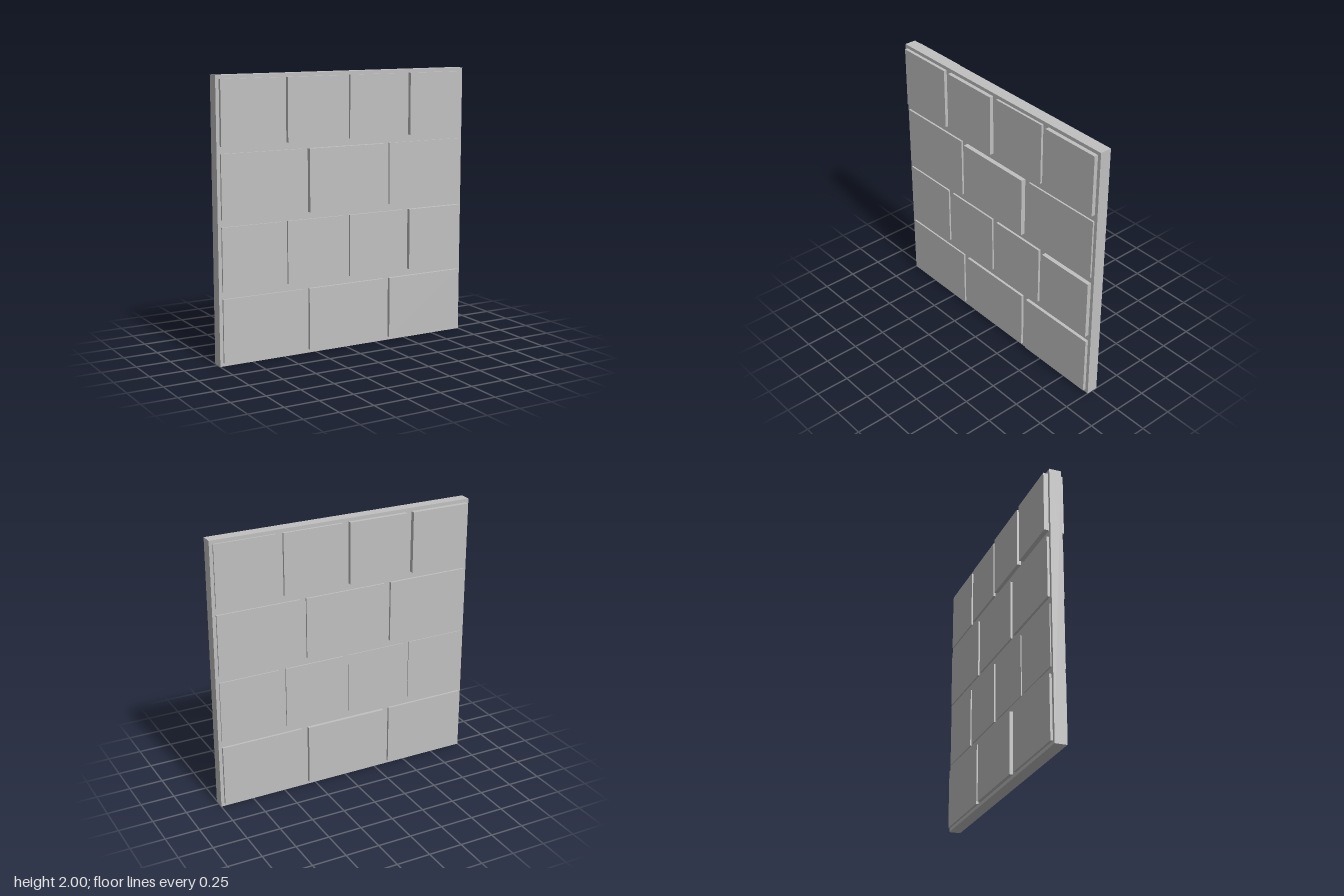
import * as THREE from 'three';

export function createModel() {
  const model = new THREE.Group();
  model.name = 'stoneWall';
  const stone = new THREE.MeshStandardMaterial({ color: 0xc0c0c0 });
  stone.name = 'grey stone';

  const half = 0.043; // half thickness of the core slab
  const gap = 0.05; // mortar gap between blocks

  function box(name, w, h, d, x, y, z, parent) {
    const mesh = new THREE.Mesh(new THREE.BoxGeometry(w, h, d), stone);
    mesh.name = name;
    mesh.position.set(x, y, z);
    parent.add(mesh);
  }

  // Core slab, visible as the mortar
  box('mortarSlab', 2, 2, half * 2, 0, 1, 0, model);

  // Courses from bottom to top; each block is [front z, back z], from -x to +x
  const courses = [
    [[0.056, -0.06], [0.062, -0.068], [0.067, -0.06]],
    [[0.056, -0.05], [0.057, -0.05], [0.06, -0.053], [0.074, -0.052]],
    [[0.058, -0.06], [0.077, -0.056], [0.056, -0.055]],
    [[0.067, -0.077], [0.072, -0.071], [0.06, -0.06], [0.072, -0.054]],
  ];

  courses.forEach((blocks, row) => {
    const course = new THREE.Group();
    course.name = `course${row + 1}`;
    model.add(course);
    const pitch = 2 / blocks.length;
    // End blocks keep half a gap to the slab edge
    blocks.forEach(([front, back], i) => {
      box(`block${i + 1}`, pitch - gap, 0.5 - gap, front - back,
        -1 + pitch * (i + 0.5), 0.25 + row * 0.5, (front + back) / 2, course);
    });
  });
  return model;
}
